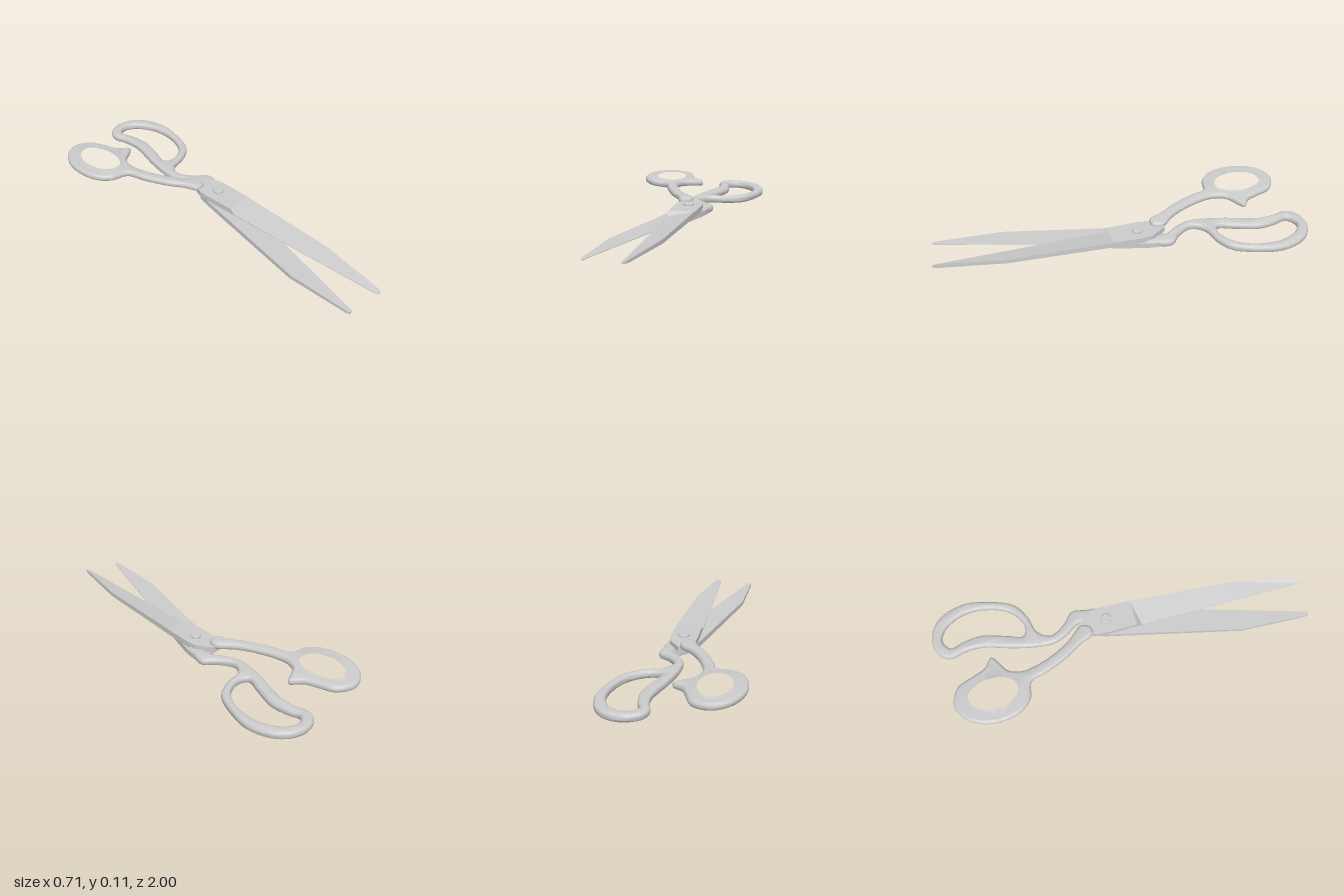
import * as THREE from 'three';
import { toCreasedNormals } from 'three/addons/utils/BufferGeometryUtils.js';

const material = new THREE.MeshStandardMaterial({ color: 0xcccccc });

function addMesh(parent, name, geometry) {
  const mesh = new THREE.Mesh(geometry, material);
  mesh.name = name;
  parent.add(mesh);
  return mesh;
}

// Smooth closed outline through [x, z] points
function outline(points, divisions) {
  const curve = new THREE.CatmullRomCurve3(
    points.map(([x, z]) => new THREE.Vector3(x, z, 0)), true, 'centripetal');
  return curve.getPoints(divisions).slice(0, -1).map(p => new THREE.Vector2(p.x, p.y));
}

// Rounded handle lying flat, its height sloping slightly with x
function handleGeometry(outer, inner, thickness, height) {
  const shape = new THREE.Shape(outline(outer, 110));
  shape.holes.push(new THREE.Path(outline(inner, 60)));
  const bevel = 0.017;
  const geo = new THREE.ExtrudeGeometry(shape, {
    depth: thickness - 2 * bevel, bevelThickness: bevel, bevelSize: bevel,
    bevelOffset: -bevel, bevelSegments: 4, steps: 1,
  });
  geo.translate(0, 0, bevel - thickness / 2);
  geo.rotateX(Math.PI / 2);
  const pos = geo.attributes.position;
  for (let i = 0; i < pos.count; i++) pos.setY(i, pos.getY(i) + height(pos.getX(i)));
  return toCreasedNormals(geo, 0.8);
}

// Wedge blade from stations [z, spine x, edge x, inner y, spine thickness, edge thickness];
// side is +1 for the upper blade and -1 for the lower one
function bladeGeometry(stations, side) {
  const vertices = [], index = [];
  for (const [z, spine, edge, y, ts, te] of stations) {
    vertices.push(spine, y, z, spine, y + side * ts, z, edge, y + side * te, z, edge, y, z);
  }
  for (let i = 0; i < stations.length - 1; i++) {
    for (let k = 0; k < 4; k++) {
      const a = i * 4 + k, b = i * 4 + (k + 1) % 4;
      index.push(a, b, b + 4, a, b + 4, a + 4);
    }
  }
  const e = (stations.length - 1) * 4;
  index.push(0, 2, 1, 0, 3, 2, e, e + 1, e + 2, e, e + 2, e + 3);
  const geo = new THREE.BufferGeometry();
  geo.setAttribute('position', new THREE.Float32BufferAttribute(vertices, 3));
  geo.setIndex(index);
  const flat = geo.toNonIndexed();
  flat.computeVertexNormals();
  return flat;
}

export function createModel() {
  const model = new THREE.Group();
  model.name = 'scissors';

  const upper = new THREE.Group();
  upper.name = 'upperHalf';
  const lower = new THREE.Group();
  lower.name = 'lowerHalf';
  model.add(upper, lower);

  // Blades: thick flat base at the pivot, then a wedge down to the cutting edge
  addMesh(upper, 'upperBlade', bladeGeometry([
    [-0.23, 0.045, 0.0, 0.046, 0.029, 0.029],
    [-0.15, 0.1, -0.035, 0.046, 0.03, 0.03],
    [-0.1, 0.107, -0.04, 0.046, 0.03, 0.03],
    [0.07, 0.097, -0.042, 0.045, 0.03, 0.03],
    [0.1, 0.094, -0.043, 0.045, 0.03, 0.004],
    [0.63, 0.05, -0.05, 0.041, 0.022, 0.003],
    [0.98, -0.025, -0.055, 0.039, 0.013, 0.003],
    [1.0, -0.035, -0.05, 0.04, 0.01, 0.003],
  ], 1));
  addMesh(lower, 'lowerBlade', bladeGeometry([
    [-0.22, 0.04, 0.13, 0.044, 0.027, 0.027],
    [-0.16, -0.02, 0.13, 0.044, 0.027, 0.027],
    [-0.1, -0.04, 0.12, 0.044, 0.027, 0.027],
    [0.07, -0.084, 0.067, 0.044, 0.027, 0.027],
    [0.1, -0.091, 0.057, 0.044, 0.027, 0.004],
    [0.6, -0.22, -0.105, 0.045, 0.022, 0.003],
    [0.95, -0.245, -0.219, 0.044, 0.014, 0.003],
    [0.97, -0.24, -0.225, 0.043, 0.011, 0.003],
  ], -1));

  // Thumb handle: oval ring with a pointed spur and a curved shank
  addMesh(upper, 'thumbHandle', handleGeometry([
    [-0.03, -0.17], [0.02, -0.175], [0.035, -0.225], [-0.025, -0.3], [-0.075, -0.39],
    [-0.112, -0.5], [-0.122, -0.58], [-0.095, -0.65], [-0.03, -0.69], [0.0, -0.717],
    [-0.05, -0.765], [-0.075, -0.83], [-0.11, -0.92], [-0.2, -0.962], [-0.285, -0.925],
    [-0.34, -0.84], [-0.355, -0.74], [-0.335, -0.64], [-0.28, -0.575], [-0.19, -0.545],
    [-0.165, -0.46], [-0.115, -0.335], [-0.06, -0.24],
  ], [
    [-0.1, -0.75], [-0.118, -0.835], [-0.155, -0.89], [-0.205, -0.9], [-0.26, -0.87],
    [-0.295, -0.8], [-0.3, -0.73], [-0.275, -0.65], [-0.225, -0.61], [-0.165, -0.61],
    [-0.12, -0.66],
  ], 0.038, x => 0.078 - 0.056 * x));

  // Finger handle: long bean-shaped loop with a curved shank
  addMesh(lower, 'fingerHandle', handleGeometry([
    [0.06, -0.12], [0.11, -0.1], [0.13, -0.17], [0.14, -0.245], [0.085, -0.3],
    [0.042, -0.385], [0.085, -0.45], [0.18, -0.475], [0.27, -0.53], [0.335, -0.68],
    [0.354, -0.79], [0.32, -0.915], [0.255, -0.98], [0.17, -1.0], [0.095, -0.97],
    [0.07, -0.92], [0.085, -0.845], [0.085, -0.755], [0.03, -0.58], [0.0, -0.45],
    [-0.003, -0.37], [0.025, -0.295], [0.065, -0.23],
  ], [
    [0.125, -0.91], [0.18, -0.945], [0.245, -0.91], [0.295, -0.805], [0.288, -0.67],
    [0.23, -0.555], [0.135, -0.505], [0.082, -0.525], [0.11, -0.615], [0.148, -0.74],
    [0.14, -0.845],
  ], 0.042, x => 0.036 - 0.041 * x));

  // Pivot screw through both halves
  const screw = new THREE.LatheGeometry([
    [0, 0.014], [0.026, 0.014], [0.028, 0.017], [0.028, 0.084], [0.024, 0.088], [0, 0.088],
  ].map(([r, y]) => new THREE.Vector2(r, y)), 24);
  addMesh(model, 'pivotScrew', toCreasedNormals(screw, 0.6)).position.set(0.035, 0, -0.08);

  return model;
}
